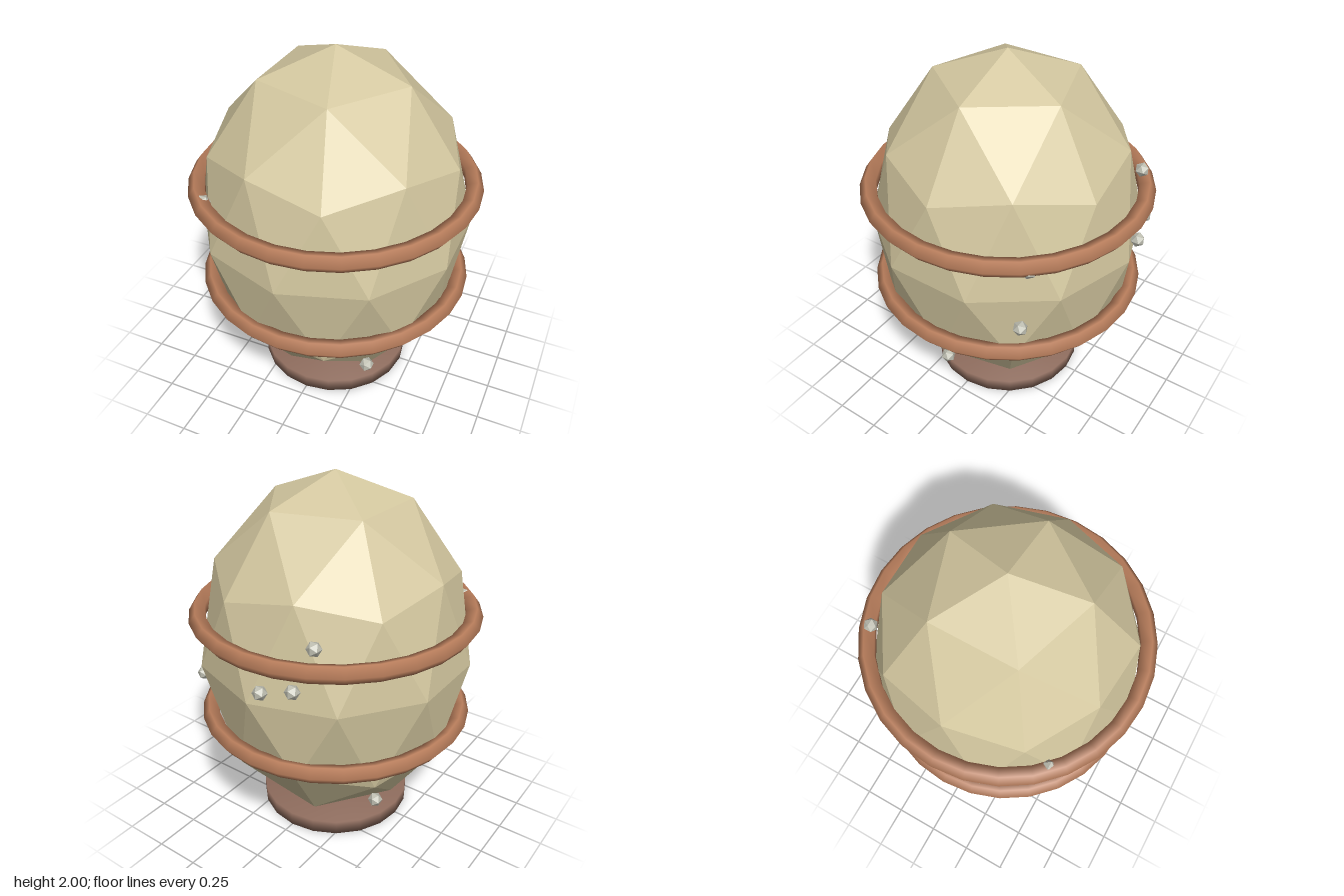
import * as THREE from 'three';
import { mergeVertices } from 'three/addons/utils/BufferGeometryUtils.js';

function material(name, color, flatShading = false) {
  const m = new THREE.MeshStandardMaterial({ color, flatShading });
  m.name = name;
  return m;
}

export function createModel() {
  const group = new THREE.Group();
  const shell = material('pale sand', 0xd4c8a0, true);
  const copper = material('copper', 0xb87d5b);
  const brown = material('brown', 0x8d6b5c);
  const grey = material('light grey', 0xbfbfb2, true);

  const add = (name, geometry, mat, x = 0, y = 0, z = 0) => {
    const mesh = new THREE.Mesh(geometry, mat);
    mesh.name = name;
    mesh.position.set(x, y, z);
    group.add(mesh);
  };

  // Faceted egg, turned so that a corner points straight up, then stretched
  const egg = new THREE.IcosahedronGeometry(1, 1);
  egg.rotateZ(-Math.atan(2 / (1 + Math.sqrt(5))));
  egg.scale(0.76, 1, 0.76);
  add('eggBody', egg, shell, 0, 1, 0);

  // Two hoops around the egg
  for (const [name, radius, y] of [['upperBand', 0.752, 1.242], ['lowerBand', 0.722, 0.644]]) {
    add(name, new THREE.TorusGeometry(radius, 0.05, 5, 28).rotateX(Math.PI / 2), copper, 0, y, 0);
  }

  // Foot disc with softly shaded edges
  let foot = new THREE.CylinderGeometry(0.438, 0.438, 0.08, 20);
  foot.deleteAttribute('normal');
  foot.deleteAttribute('uv');
  foot = mergeVertices(foot);
  foot.computeVertexNormals();
  add('footDisc', foot, brown, 0, 0.04, 0);

  // Small studs scattered over the shell
  const studs = [
    [0.39, 0.385, 0.465], [0.595, 0.375, 0], [0.585, 0.845, -0.47], [-0.09, 1.09, -0.755],
    [-0.255, 1.13, -0.71], [0.555, 1.21, -0.495], [0.22, 0.6, -0.66], [-0.33, 1.35, -0.635],
    [-0.515, 1.255, 0.525], [-0.465, 0.3, -0.277],
  ];
  const studGeometry = new THREE.IcosahedronGeometry(0.04, 0);
  studs.forEach((p, i) => add('stud' + (i + 1), studGeometry, grey, ...p));

  return group;
}
